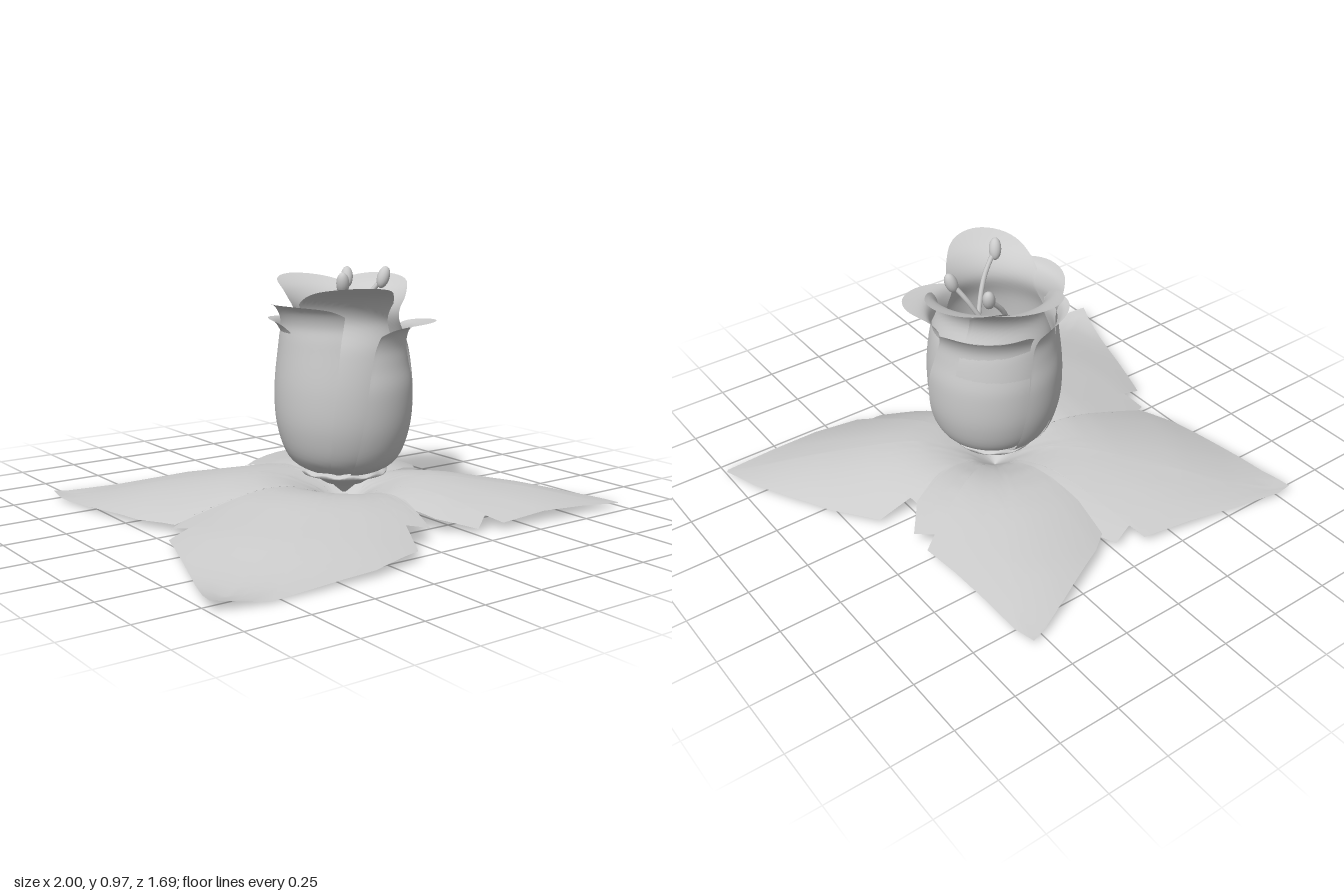
import * as THREE from 'three';

const grey = new THREE.MeshStandardMaterial({ color: 0xcccccc, side: THREE.DoubleSide });
const V2 = (p) => new THREE.Vector2(p[0], p[1]);

function addMesh(parent, name, geometry) {
  const mesh = new THREE.Mesh(geometry, grey);
  mesh.name = name;
  parent.add(mesh);
  return mesh;
}

// Smooth grid surface: fn(i, j) gives the point at column i, row j
function gridSurface(cols, rows, fn) {
  const pos = [], index = [];
  for (let j = 0; j <= rows; j++) {
    for (let i = 0; i <= cols; i++) {
      pos.push(...fn(i, j));
      if (i < cols && j < rows) {
        const a = j * (cols + 1) + i, b = a + 1, c = a + cols + 1, d = c + 1;
        index.push(a, b, c, b, d, c);
      }
    }
  }
  const g = new THREE.BufferGeometry();
  g.setAttribute('position', new THREE.Float32BufferAttribute(pos, 3));
  g.setIndex(index);
  g.computeVertexNormals();
  return g;
}

// Height along a leaf: pinched root, arched shoulder, shallow tip that curls up
const ARCH = [[0, 0.01], [0.12, 0.1], [0.24, 0.14], [0.34, 0.15], [0.45, 0.142], [0.75, 0.095], [1, 0.04], [1.15, 0.02], [1.28, 0.05]];
function archHeight(r) {
  let k = 0;
  while (k < ARCH.length - 2 && r > ARCH[k + 1][0]) k++;
  const [r0, y0] = ARCH[k], [r1, y1] = ARCH[k + 1];
  return y0 + (y1 - y0) * (r - r0) / (r1 - r0);
}

// Leaf: fan of rings from the root out to its notched outline (x, z)
const ROOT = [0.06, 0.08];
function leaf(outline, tip, droop) {
  const edge = [];
  outline.forEach((p, k) => {
    const q = outline[k + 1];
    if (!q) return edge.push(p);
    for (let s = 0; s < 3; s++) edge.push([p[0] + (q[0] - p[0]) * s / 3, p[1] + (q[1] - p[1]) * s / 3]);
  });
  const axis = V2([tip[0] - ROOT[0], tip[1] - ROOT[1]]).normalize();
  const rows = 20;
  return gridSurface(edge.length - 1, rows, (i, j) => {
    const dx = (edge[i][0] - ROOT[0]) * j / rows, dz = (edge[i][1] - ROOT[1]) * j / rows;
    const across = dx * axis.y - dz * axis.x;
    const y = archHeight(Math.hypot(dx, dz)) - droop * across * across;
    return [ROOT[0] + dx, Math.max(y, 0.004), ROOT[1] + dz];
  });
}

// Petal: body profile (radius, height) swept through an angle, leaning as it rises, pointed at the lip
function petal(profile, angle, halfWidth) {
  const curve = new THREE.SplineCurve(profile.map(V2));
  const cols = 28, rows = 36;
  return gridSurface(cols, rows, (i, j) => {
    const u = (i / cols) * 2 - 1;
    const t = (j / rows) * (1 - 0.2 * Math.pow(Math.abs(u), 1.5));
    const p = curve.getPoint(t);
    const a = angle + u * halfWidth * (1 - 0.15 * t * t * t) + 0.5 * (1 - t);
    const r = p.x + 0.008 * u;
    return [r * Math.cos(a), p.y, r * Math.sin(a)];
  });
}

export function createModel() {
  const model = new THREE.Group();
  model.name = 'flower';

  // Ground leaves
  const leaves = new THREE.Group();
  leaves.name = 'leaves';
  model.add(leaves);
  addMesh(leaves, 'frontRightLeaf', leaf([[-0.5, -0.08], [-0.69, 0], [-0.67, 0.1], [-0.76, 0.11], [-0.88, 0.46], [-1, 0.8], [-0.93, 0.82],
    [-0.79, 0.84], [-0.36, 0.83], [-0.13, 0.775], [-0.06, 0.62], [0.03, 0.65], [0.08, 0.45]], [-1, 0.8], 0.25));
  addMesh(leaves, 'backRightLeaf', leaf([[-0.37, -0.01], [-0.66, -0.02], [-0.73, -0.18], [-0.79, -0.5], [-0.815, -0.7], [-0.81, -0.78], [-0.75, -0.78],
    [-0.12, -0.67], [-0.1, -0.6], [-0.01, -0.63], [0.09, -0.48], [0.14, -0.31]], [-0.81, -0.78], 0.3));
  addMesh(leaves, 'backLeftLeaf', leaf([[0, -0.4], [0.02, -0.58], [0.1, -0.64], [0.36, -0.77], [0.49, -0.83], [0.555, -0.85], [0.58, -0.77],
    [0.62, -0.26], [0.56, -0.22], [0.61, -0.15], [0.51, -0.02], [0.36, 0.05]], [0.555, -0.85], 0.35));
  addMesh(leaves, 'frontLeftLeaf', leaf([[0.08, 0.42], [0.15, 0.54], [0.27, 0.65], [0.34, 0.61], [0.38, 0.67], [0.99, 0.7], [1, 0.69],
    [0.95, 0.53], [0.88, 0.38], [0.78, 0.2], [0.65, 0.04], [0.51, 0.03], [0.5, -0.02]], [1, 0.7], 0.7));

  const bloom = new THREE.Group();
  bloom.name = 'bloom';
  bloom.position.set(0.05, 0, 0.095);
  model.add(bloom);

  // Tall inner petals with wide lips
  const inner = [[0.1, 0.17], [0.2, 0.23], [0.252, 0.36], [0.262, 0.52], [0.242, 0.68], [0.205, 0.8], [0.255, 0.89], [0.36, 0.94]];
  for (const a of [-1.6, -0.5, 2.02]) addMesh(bloom, 'innerPetal', petal(inner, a, 1.0));

  // Shorter outer petals: direction, lip height, lip radius, half angle
  for (const [a, y, r, w] of [[2.98, 0.86, 0.32, 0.95], [0.76, 0.785, 0.36, 0.85], [-2.5, 0.79, 0.3, 0.75], [-0.95, 0.79, 0.3, 0.85]]) {
    const outer = [[0.1, 0.17], [0.21, 0.23], [0.262, 0.36], [0.272, 0.52], [0.254, y - 0.16], [0.245, y - 0.08], [0.27, y - 0.02], [r, y]];
    addMesh(bloom, 'outerPetal', petal(outer, a, w));
  }

  // Cup closing the bottom of the bloom
  const cup = [[0, 0.19], [0.1, 0.19], [0.19, 0.25], [0.235, 0.36], [0.25, 0.5]];
  addMesh(bloom, 'cup', new THREE.LatheGeometry(new THREE.SplineCurve(cup.map(V2)).getPoints(20), 40));

  // Calyx under the petals, with a wavy collar
  const calyx = [[0.01, 0.09], [0.05, 0.125], [0.08, 0.135], [0.12, 0.16], [0.145, 0.178]];
  addMesh(bloom, 'calyx', new THREE.LatheGeometry(calyx.map(V2), 32));
  addMesh(bloom, 'collar', gridSurface(60, 3, (i, j) => {
    const a = (i / 60) * Math.PI * 2;
    const r = [0.13, 0.168, 0.172, 0.15][j], y = [0.17, 0.175, 0.186, 0.195][j];
    return [r * Math.cos(a), y + (j > 1 ? 0.005 * Math.sin(a * 10) : 0), r * Math.sin(a)];
  }));

  // Stamens: filament swirling out of the centre and an egg-shaped anther at each tip
  for (const [x, z, y] of [[0.13, -0.16, 0.93], [0.18, 0.015, 0.94], [-0.11, 0.135, 0.94]]) {
    const stamen = new THREE.Group();
    stamen.name = 'stamen';
    bloom.add(stamen);
    const reach = Math.hypot(x, z), dir = Math.atan2(z, x);
    const path = new THREE.CatmullRomCurve3([[0.25, 0.19, 2.2], [0.3, 0.45, 1.7], [0.4, 0.66, 1.1], [0.7, 0.84, 0.35], [1, y, 0]]
      .map(([k, h, swirl]) => new THREE.Vector3(reach * k * Math.cos(dir - swirl), h, reach * k * Math.sin(dir - swirl))));
    addMesh(stamen, 'filament', new THREE.TubeGeometry(path, 24, 0.01, 8));
    const anther = addMesh(stamen, 'anther', new THREE.SphereGeometry(0.025, 16, 12));
    anther.scale.set(1, 1.8, 1);
    anther.position.set(x, y, z);
    anther.quaternion.setFromUnitVectors(new THREE.Vector3(0, 1, 0), new THREE.Vector3(x * 2, 1, z * 2).normalize());
  }
  return model;
}
